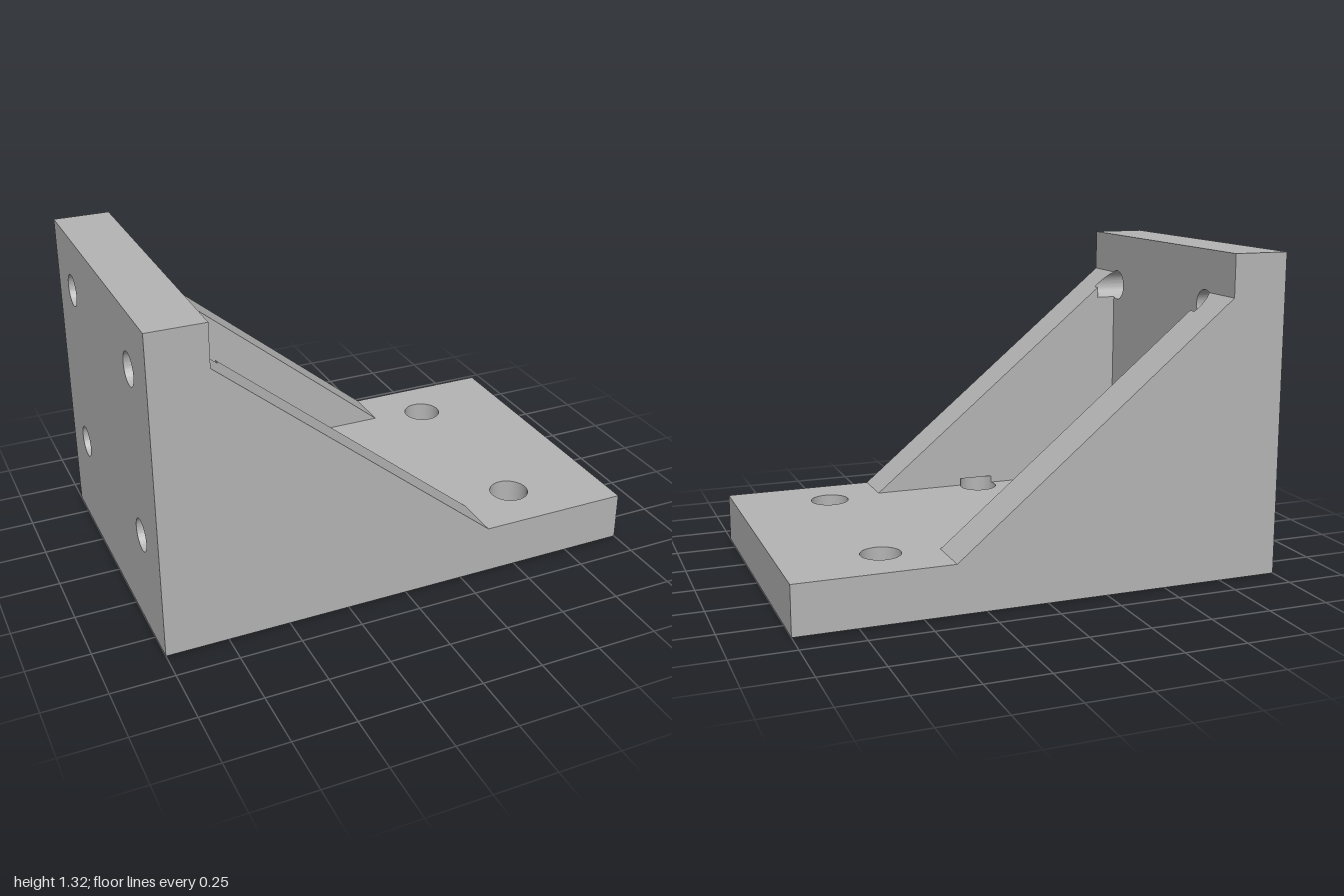
import * as THREE from 'three';
import { toCreasedNormals } from 'three/addons/utils/BufferGeometryUtils.js';

const W = 0.627;        // half width
const IN = 0.43;        // inner face of each gusset
const T = 0.2;          // base thickness
const WALL = -0.772;    // front face of the upright wall
const H = 1.315;        // wall height
const TOP = 1.143, TOE = 0.37;      // ends of the gusset slope
const HZ = 0.4;         // hole offset in z
const RW = 0.065, RB = 0.08;        // wall and base hole radii
const WALL_HOLES = [0.4, 1.087], BASE_HOLES = [-0.09, 0.6];
const PX = -0.69, PY = 0.23;        // how far the hole cuts run into the gussets

const K = (TOP - T) / (TOE - WALL);
const slopeY = x => TOP - (x - WALL) * K;
const slopeX = y => TOE - (y - T) / K;

// Rectangular plate pierced by round holes
function plate(x0, x1, y0, y1, depth, holes, r) {
  const s = new THREE.Shape([[x0, y0], [x1, y0], [x1, y1], [x0, y1]].map(p => new THREE.Vector2(...p)));
  for (const [x, y] of holes) s.holes.push(new THREE.Path().absarc(x, y, r, 0, Math.PI * 2, true));
  return new THREE.ExtrudeGeometry(s, { depth, bevelEnabled: false, curveSegments: 48 });
}

// Closed solid through matching 2D sections; place(u, v, t) maps to 3D
function loft(sections, place) {
  const n = sections[0].pts.length, tris = [];
  const at = (i, j) => place(...sections[i].pts[j % n], sections[i].t);
  for (let i = 0; i < sections.length - 1; i++)
    for (let j = 0; j < n; j++) {
      const a = at(i, j), b = at(i, j + 1), c = at(i + 1, j + 1), d = at(i + 1, j);
      tris.push([a, b, c], [a, c, d]);
    }
  const last = sections.length - 1;
  for (const i of [0, last]) {
    const ring = sections[i].pts.map(p => new THREE.Vector2(...p));
    const sign = THREE.ShapeUtils.isClockWise(ring) ? -1 : 1;
    for (const f of THREE.ShapeUtils.triangulateShape(ring, [])) {
      const [a, b, c] = f.map(j => ring[j]);
      const ccw = (b.x - a.x) * (c.y - a.y) - (b.y - a.y) * (c.x - a.x) > 0 ? 1 : -1;
      const t = f.map(j => at(i, j));
      // caps keep the ring's own direction at the end, reversed at the start
      if ((ccw === sign) === (i === 0)) t.reverse();
      tris.push(t);
    }
  }
  // turn the solid outward if it came out inside out
  const v = p => new THREE.Vector3(...p);
  const volume = tris.reduce((s, [a, b, c]) => s + v(a).dot(v(b).cross(v(c))), 0);
  if (volume < 0) tris.forEach(t => t.reverse());
  const g = new THREE.BufferGeometry();
  g.setAttribute('position', new THREE.Float32BufferAttribute(tris.flat(2), 3));
  return g;
}

// Arc points about (cu, cv)
function arc(cu, cv, r, a0, a1, n = 16) {
  return Array.from({ length: n + 1 }, (_, i) => {
    const a = a0 + (a1 - a0) * i / n;
    return [cu + r * Math.cos(a), cv + r * Math.sin(a)];
  });
}

export function createModel() {
  const model = new THREE.Group();
  const grey = new THREE.MeshStandardMaterial({ color: 0xb4b4b4 });
  grey.name = 'plain grey';
  const add = (name, geometry, parent = model) => {
    const mesh = new THREE.Mesh(toCreasedNormals(geometry, 0.4), grey);
    mesh.name = name;
    parent.add(mesh);
  };
  const pairs = list => list.flatMap(p => [[p, -HZ], [p, HZ]]);

  // Base plate
  const base = plate(WALL, 1, -W, W, T, pairs(BASE_HOLES), RB);
  add('basePlate', base.rotateX(-Math.PI / 2));

  // Upright wall
  const wall = plate(-W, W, 0, H, WALL + 1, pairs(WALL_HOLES).map(([y, z]) => [z, y]), RW);
  add('uprightWall', wall.rotateY(Math.PI / 2).translate(-1, 0, 0));

  // Gussets, cut where the bolt holes run into them
  const aw = Math.acos((IN - HZ) / RW), ab = Math.acos((IN - HZ) / RB);
  for (const side of [1, -1]) {
    const gusset = new THREE.Group();
    gusset.name = side > 0 ? 'leftGusset' : 'rightGusset';
    model.add(gusset);

    // strip beside the wall, with the two wall-hole cuts
    const strip = [];
    for (let i = 0; i <= 10; i++) {
      const x = WALL + (PX - WALL) * i / 10, y = slopeY(x);
      strip.push({ t: x, pts: [
        [W, T], [IN, T],
        ...arc(HZ, WALL_HOLES[0], RW, -aw, aw),
        ...arc(HZ, WALL_HOLES[1], RW, -aw, Math.asin((y - WALL_HOLES[1]) / RW)),
        [W, y]] });
    }
    add('gussetWallStrip', loft(strip, (z, y, x) => [x, y, z * side]), gusset);

    // low layer, with the base-hole cut
    const foot = [T, PY].map(y => ({ t: y, pts: [
      [PX, W], [PX, IN],
      ...arc(BASE_HOLES[0], HZ, RB, Math.PI / 2 + ab, Math.PI / 2 - ab),
      [slopeX(y), IN], [slopeX(y), W]] }));
    add('gussetFoot', loft(foot, (x, z, y) => [x, y, z * side]), gusset);

    // sloping web
    const web = [IN, W].map(z => ({ t: z, pts: [[PX, PY], [slopeX(PY), PY], [PX, slopeY(PX)]] }));
    add('gussetWeb', loft(web, (x, y, z) => [x, y, z * side]), gusset);
  }
  return model;
}
